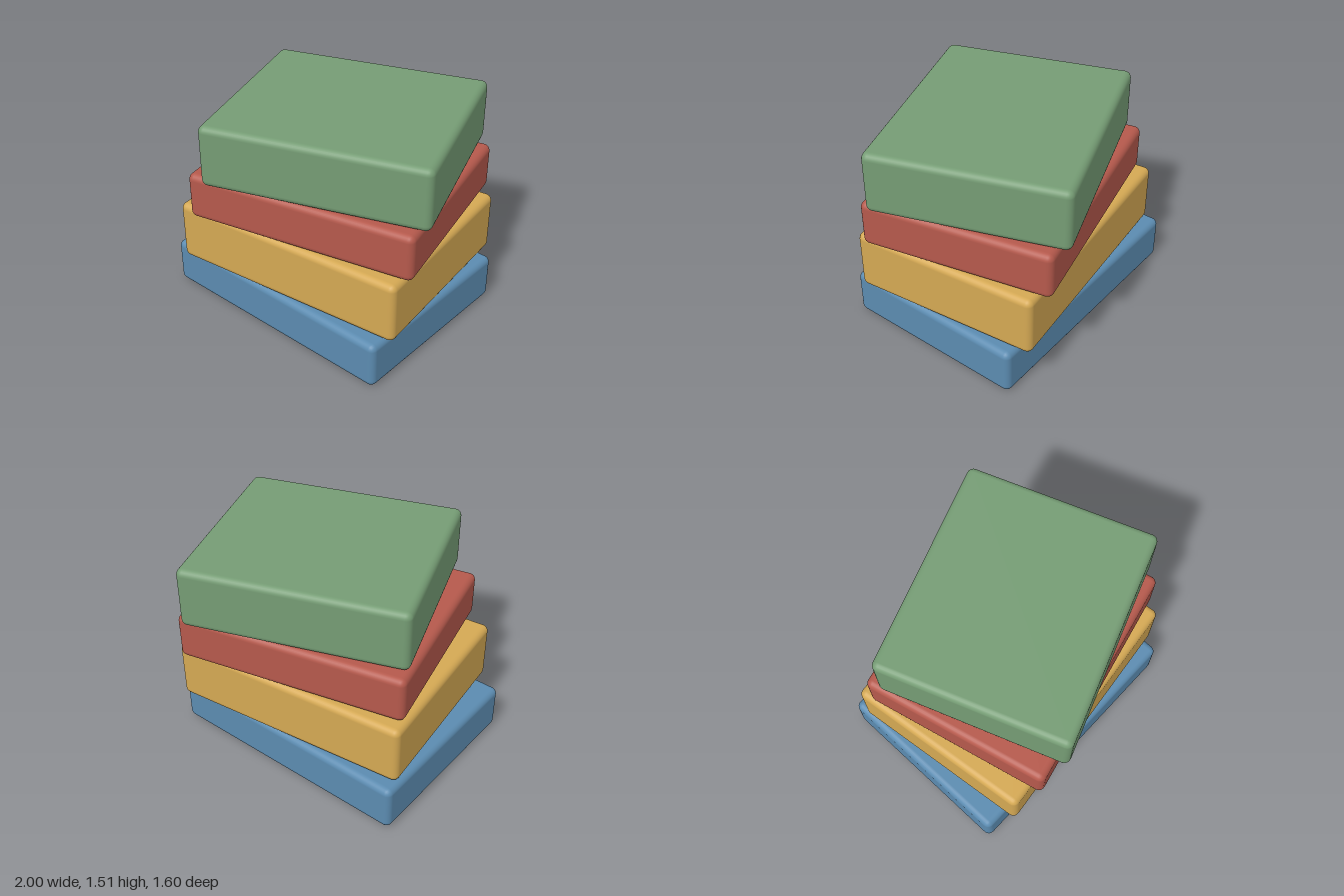
import * as THREE from 'three';
import { RoundedBoxGeometry } from 'three/addons/geometries/RoundedBoxGeometry.js';

// Stacked slabs, bottom to top: width shrinks, each one twists and slides to the left
const DEPTH = 1.32;
const BEVEL = 0.045;
const SLABS = [
  { name: 'bottomSlab', colorName: 'blue', color: 0x5b8bb0, width: 1.81, bottom: 0, top: 0.33, x: 0, turn: -10 },
  { name: 'lowerMiddleSlab', colorName: 'yellow', color: 0xd4a853, width: 1.71, bottom: 0.33, top: 0.76, x: 0.04, turn: -3.3 },
  { name: 'upperMiddleSlab', colorName: 'red', color: 0xb5594c, width: 1.61, bottom: 0.76, top: 1.088, x: 0.08, turn: 3.3 },
  { name: 'topSlab', colorName: 'green', color: 0x759c74, width: 1.52, bottom: 1.088, top: 1.515, x: 0.12, turn: 10 },
];

export function createModel() {
  const group = new THREE.Group();
  group.name = 'slabStack';
  for (const s of SLABS) {
    const material = new THREE.MeshStandardMaterial({ color: s.color });
    material.name = s.colorName;
    const height = s.top - s.bottom;
    const slab = new THREE.Mesh(new RoundedBoxGeometry(s.width, height, DEPTH, 3, BEVEL), material);
    slab.name = s.name;
    slab.position.set(s.x, s.bottom + height / 2, 0);
    slab.rotation.y = THREE.MathUtils.degToRad(s.turn);
    group.add(slab);
  }
  return group;
}
